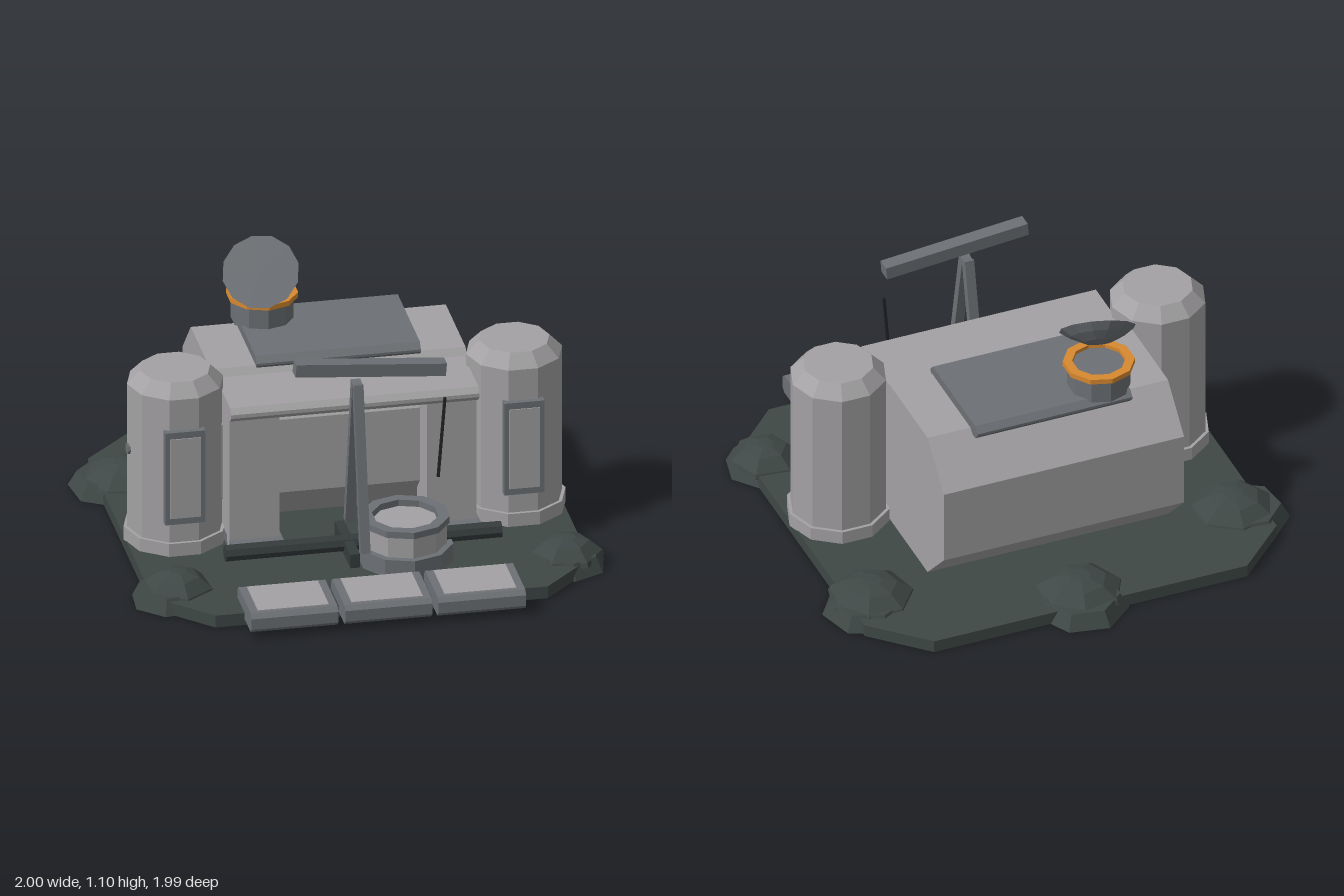
import * as THREE from 'three';

const mat = (name, color) => new THREE.MeshStandardMaterial({ name, color, flatShading: true });

export function createModel() {
  const root = new THREE.Group();
  root.name = 'outpost';
  const light = mat('light grey', 0xa3a1a3);
  const mid = mat('steel grey', 0x6c7074);
  const ground = mat('dark ground', 0x3f4846);
  const pipe = mat('dark pipe', 0x353c3c);
  const black = mat('black cable', 0x222426);
  const orange = mat('orange', 0xd8892f);

  const add = (name, geo, material, x = 0, y = 0, z = 0) => {
    const m = new THREE.Mesh(geo, material);
    m.name = name;
    m.position.set(x, y, z);
    root.add(m);
    return m;
  };
  const box = (name, material, x0, x1, y0, y1, z0, z1) =>
    add(name, new THREE.BoxGeometry(x1 - x0, y1 - y0, z1 - z0), material,
      (x0 + x1) / 2, (y0 + y1) / 2, (z0 + z1) / 2);
  // Cylinder from y0 to y1
  const drum = (name, material, x, z, r0, r1, y0, y1, sides, turn = 0) => {
    const m = add(name, new THREE.CylinderGeometry(r1, r0, y1 - y0, sides), material, x, (y0 + y1) / 2, z);
    m.rotation.y = turn;
    return m;
  };
  // Box with long edges cut at 45 degrees, running along x
  const prism = (name, material, x0, x1, y0, y1, z0, z1, c) => {
    const pts = [[z0 + c, y0], [z1 - c, y0], [z1, y0 + c], [z1, y1 - c],
      [z1 - c, y1], [z0 + c, y1], [z0, y1 - c], [z0, y0 + c]];
    const shape = new THREE.Shape(pts.map(([z, y]) => new THREE.Vector2(-z, y)));
    const geo = new THREE.ExtrudeGeometry(shape, { depth: x1 - x0, bevelEnabled: false });
    geo.rotateY(Math.PI / 2);
    return add(name, geo, material, x0);
  };
  // Square bar between two points
  const beam = (name, material, a, b, w, d = w) => {
    const p = new THREE.Vector3(...a), q = new THREE.Vector3(...b);
    const m = add(name, new THREE.BoxGeometry(w, p.distanceTo(q), d), material);
    m.position.copy(p).add(q).multiplyScalar(0.5);
    m.quaternion.setFromUnitVectors(new THREE.Vector3(0, 1, 0), q.sub(p).normalize());
    return m;
  };
  const lathe = (pts, sides) => new THREE.LatheGeometry(pts.map(([r, y]) => new THREE.Vector2(r, y)), sides);

  // Ground plate with cut corners
  const outline = [[-0.675, -0.88], [0.69, -0.88], [0.906, -0.67], [0.906, 0.64],
    [0.69, 0.856], [-0.675, 0.856], [-0.89, 0.64], [-0.89, -0.67]];
  const plate = new THREE.ExtrudeGeometry(
    new THREE.Shape(outline.map(([x, z]) => new THREE.Vector2(x, -z))), { depth: 0.053, bevelEnabled: false });
  plate.rotateX(-Math.PI / 2);
  add('groundPlate', plate, ground);

  // Rocks: faceted mound over a sloping skirt pushed outward
  const rocks = [[-0.78, -0.48, 0.18, 7, -0.035, -0.02, 0.3], [0.8, -0.48, 0.18, 7, 0.02, -0.02, 0.9],
    [0.01, -0.77, 0.185, 7, 0.01, -0.04, 0.2], [-0.77, 0.56, 0.15, 6, -0.035, 0.01, 0.1],
    [0.83, 0.56, 0.15, 6, 0.0, 0.01, 0.4]];
  for (const [x, z, r, sides, dx, dz, turn] of rocks) {
    const top = add('rock', lathe([[r, 0.04], [r * 0.95, 0.06], [r * 0.6, 0.105], [r * 0.25, 0.122], [0, 0.124]], sides), ground, x, 0, z);
    top.rotation.y = turn;
    drum('rockSkirt', ground, x + dx, z + dz, r + 0.01, r * 0.85, 0, 0.065, 7, turn + 0.5);
  }

  // Main building, an eight-sided section
  prism('mainHall', light, -0.516, 0.532, 0.055, 0.72, -0.6, 0.14, 0.17);
  prism('roofPanel', mid, -0.33, 0.345, 0.7, 0.76, -0.505, -0.01, 0.025);
  prism('awning', light, -0.5, 0.52, 0.635, 0.695, -0.02, 0.31, 0.022);
  for (const [x0, x1] of [[-0.5, -0.295], [0.31, 0.515]]) {
    box('frontPillar', light, x0, x1, 0.053, 0.64, 0.08, 0.28);
    box('pillarFoot', mid, x0, x1 + 0.01, 0.053, 0.1, 0.1, 0.318);
  }

  // Corner towers with window panels
  for (const x of [-0.685, 0.708]) {
    const turn = Math.PI / 2;
    drum('towerFoot', light, x, 0.085, 0.212, 0.212, 0.05, 0.11, 10, turn);
    drum('tower', light, x, 0.085, 0.198, 0.198, 0.1, 0.745, 10, turn);
    drum('towerCap', light, x, 0.085, 0.198, 0.145, 0.745, 0.8, 10, turn);
    box('windowFrame', mid, x - 0.083, x + 0.083, 0.2, 0.61, 0.26, 0.297);
    box('windowPane', light, x - 0.063, x + 0.063, 0.228, 0.582, 0.294, 0.301);
  }
  // Small bolts on the right tower
  for (const [dx, dz] of [[-1, 0.05], [0.588, -0.809]]) {
    const bolt = add('bolt', new THREE.CylinderGeometry(0.024, 0.024, 0.02, 8), mid,
      -0.685 + dx * 0.19, 0.46, 0.085 + dz * 0.19);
    bolt.quaternion.setFromUnitVectors(new THREE.Vector3(0, 1, 0), new THREE.Vector3(dx, 0, dz).normalize());
  }

  // Front steps with inset tops
  for (const [x0, x1] of [[-0.555, -0.198], [-0.17, 0.188], [0.212, 0.573]]) {
    prism('stepSlab', mid, x0, x1, 0.025, 0.108, 0.71, 0.995, 0.018);
    box('stepInset', light, x0 + 0.033, x1 - 0.033, 0.105, 0.113, 0.738, 0.963);
  }

  // Round well
  const wx = 0.18, wz = 0.485;
  drum('wellFoot', mid, wx, wz, 0.195, 0.195, 0.05, 0.13, 10);
  drum('wellBody', light, wx, wz, 0.168, 0.168, 0.12, 0.222, 10);
  add('wellRim', lathe([[0.135, 0.222], [0.18, 0.222], [0.18, 0.25], [0.135, 0.25], [0.135, 0.222]], 10), mid, wx, 0, wz);

  // Pipes lying on the ground
  const longPipe = add('longPipe', new THREE.CylinderGeometry(0.035, 0.035, 1.135, 8), pipe, 0.008, 0.14, 0.475);
  longPipe.rotation.z = Math.PI / 2;
  box('crossBar', pipe, -0.075, -0.035, 0.1, 0.16, 0.31, 0.63);

  // Crane: A-frame, boom and cable
  for (const s of [-1, 1])
    beam('craneLeg', mid, [-0.018, 0.17, 0.485 + s * 0.158], [-0.018, 0.855, 0.485 + s * 0.014], 0.04, 0.036);
  beam('craneBoom', mid, [-0.275, 0.945, 0.485], [0.343, 0.893, 0.485], 0.055, 0.06);
  beam('craneCable', black, [0.343, 0.755, 0.485], [0.315, 0.405, 0.485], 0.011);

  // Dish stand with orange collar
  const dx = -0.23, dz = -0.393;
  drum('dishStand', mid, dx, dz, 0.128, 0.128, 0.75, 0.858, 10);
  add('dishCollar', lathe([[0.108, 0.852], [0.146, 0.852], [0.146, 0.874], [0.108, 0.874], [0.108, 0.852]], 10), orange, dx, 0, dz);

  // Tilted dish: flat face over a shallow bowl
  const dish = add('dish', lathe([[0, -0.065], [0.06, -0.056], [0.115, -0.03], [0.157, 0], [0, 0.002]], 12), mid, -0.248, 0.985, -0.335);
  dish.quaternion.setFromUnitVectors(new THREE.Vector3(0, 1, 0), new THREE.Vector3(-0.2, 0.68, 0.7).normalize());

  return root;
}
